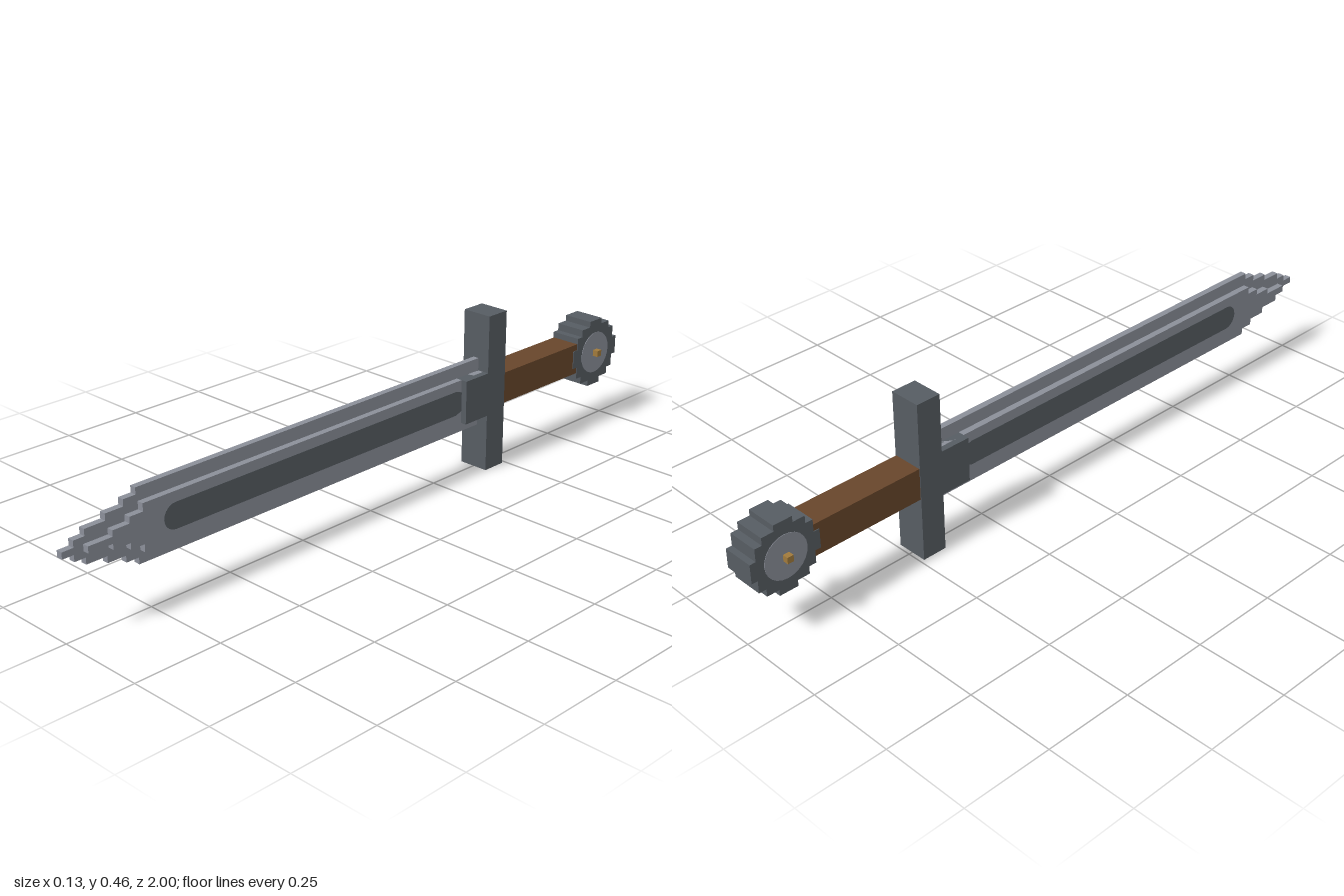
import * as THREE from 'three';

const CY = 0.228; // height of the sword's long axis

function material(name, color) {
  const m = new THREE.MeshStandardMaterial({ color });
  m.name = name;
  return m;
}

// Outline of [z, y] points, extruded across x to the given half thickness
function slab(points, half) {
  const shape = new THREE.Shape(points.map(([z, y]) => new THREE.Vector2(z, y)));
  const g = new THREE.ExtrudeGeometry(shape, { depth: half * 2, bevelEnabled: false });
  g.translate(0, 0, -half);
  g.rotateY(-Math.PI / 2);
  return g;
}

// Stair-stepped blade outline; each step is [zEnd, halfHeight]
function steppedBlade(start, steps) {
  const lower = [];
  let z = start;
  for (const [end, h] of steps) {
    lower.push([z, -h], [end, -h]);
    z = end;
  }
  const upper = lower.map(([a, b]) => [a, -b]).reverse();
  return [...lower, ...upper];
}

export function createModel() {
  const root = new THREE.Group();
  root.name = 'sword';
  const steel = material('light steel', 0x8b8f99);
  const iron = material('dark iron', 0x565c62);
  const wood = material('brown grip', 0x68462b);
  const brass = material('brass', 0xa07a3c);

  const add = (name, geometry, mat, z = 0) => {
    const mesh = new THREE.Mesh(geometry, mat);
    mesh.name = name;
    mesh.position.set(0, CY, z);
    root.add(mesh);
    return mesh;
  };
  const box = (name, mat, hx, hy, z0, z1) =>
    add(name, new THREE.BoxGeometry(hx * 2, hy * 2, z1 - z0), mat, (z0 + z1) / 2);

  // Blade: thin cutting edge with a thicker core, both stepped to the tip
  add('bladeEdge', slab(steppedBlade(-0.42, [
    [0.785, 0.099], [0.822, 0.081], [0.875, 0.063],
    [0.935, 0.045], [0.967, 0.027], [1.0, 0.009],
  ]), 0.009), steel);
  add('bladeCore', slab(steppedBlade(-0.42, [
    [0.78, 0.063], [0.82, 0.042], [0.87, 0.025], [0.94, 0.009],
  ]), 0.027), steel);

  // Dark groove on both flat sides, rounded towards the tip
  const groove = [[-0.33, -0.027], [-0.305, -0.035]];
  for (let i = 0; i <= 10; i++) {
    const a = -Math.PI / 2 + (i / 10) * Math.PI;
    groove.push([0.685 + 0.035 * Math.cos(a), 0.035 * Math.sin(a)]);
  }
  groove.push([-0.305, 0.035], [-0.33, 0.027]);
  for (const side of [1, -1]) {
    const plate = add(side > 0 ? 'leftGroove' : 'rightGroove', slab(groove, 0.001), iron);
    plate.position.x = side * 0.0272;
  }

  // Hilt
  box('collar', iron, 0.045, 0.063, -0.42, -0.328);
  box('crossguard', iron, 0.045, 0.228, -0.489, -0.417);
  box('grip', wood, 0.043, 0.045, -0.82, -0.485);

  // Pommel: stepped wheel built from one quadrant mirrored around
  const quarter = [
    [0.1, 0.027], [0.083, 0.027], [0.083, 0.062], [0.062, 0.062],
    [0.062, 0.083], [0.027, 0.083], [0.027, 0.1],
  ];
  const wheel = [];
  for (let k = 0; k < 4; k++) {
    for (const [z, y] of quarter) {
      wheel.push([[z, y], [-y, z], [-z, -y], [y, -z]][k]);
    }
  }
  add('pommelWheel', slab(wheel, 0.045), iron, -0.9);

  // Light discs on the pommel faces, with a brass pin through the middle
  for (const side of [1, -1]) {
    const disc = add(side > 0 ? 'leftPommelDisc' : 'rightPommelDisc',
      new THREE.CylinderGeometry(0.062, 0.062, 0.002, 24).rotateZ(Math.PI / 2), steel, -0.9);
    disc.position.x = side * 0.0452;
  }
  box('pommelPin', brass, 0.063, 0.009, -0.909, -0.891);

  return root;
}
